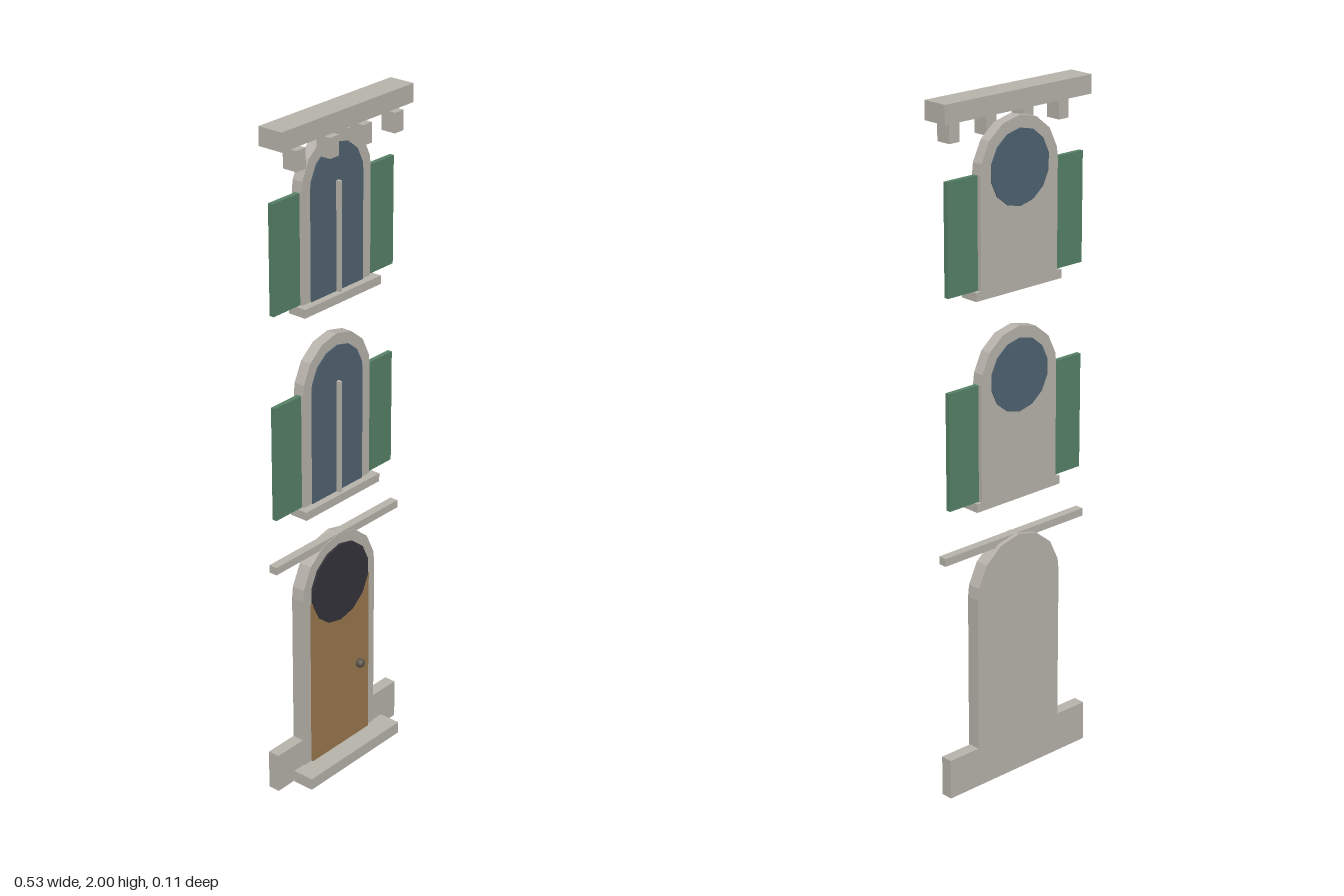
import * as THREE from 'three';

const mat = (name, color) => {
  const m = new THREE.MeshStandardMaterial({ color });
  m.name = name;
  return m;
};

export function createModel() {
  const stone = mat('stone', 0xb8b4ac);
  const wood = mat('wood', 0x9a784f);
  const green = mat('shutterGreen', 0x568266);
  const glass = mat('glass', 0x516373);
  const dark = mat('fanlightDark', 0x34333a);
  const metal = mat('knobMetal', 0x5a5448);

  const model = new THREE.Group();
  model.name = 'houseFacade';

  // Box given by its limits on each axis
  const box = (parent, name, m, [x0, x1], [y0, y1], [z0, z1]) => {
    const mesh = new THREE.Mesh(new THREE.BoxGeometry(x1 - x0, y1 - y0, z1 - z0), m);
    mesh.position.set((x0 + x1) / 2, (y0 + y1) / 2, (z0 + z1) / 2);
    mesh.name = name;
    parent.add(mesh);
  };

  // Fourteen-sided disc facing the front
  const disc = (parent, name, m, r, y, [z0, z1]) => {
    const geo = new THREE.CylinderGeometry(r, r, z1 - z0, 14).rotateX(Math.PI / 2);
    const mesh = new THREE.Mesh(geo, m);
    mesh.position.set(0, y, (z0 + z1) / 2);
    mesh.name = name;
    parent.add(mesh);
  };

  // Solid arch outline: half a fourteen-sided disc over a straight body
  const arch = (parent, name, m, r, y0, yc, [z0, z1]) => {
    const s = new THREE.Shape();
    s.moveTo(-r, y0);
    s.lineTo(r, y0);
    s.lineTo(r, yc);
    for (let i = -3; i <= 3; i++) {
      const a = Math.PI / 2 + (i * Math.PI) / 7;
      s.lineTo(r * Math.cos(a), yc + r * Math.sin(a));
    }
    s.lineTo(-r, yc);
    s.closePath();
    const geo = new THREE.ExtrudeGeometry(s, { depth: z1 - z0, bevelEnabled: false });
    const mesh = new THREE.Mesh(geo, m);
    mesh.position.z = z0;
    mesh.name = name;
    parent.add(mesh);
  };

  // Arched window with sill, mullion and shutters
  const addWindow = (name, y0, yc) => {
    const g = new THREE.Group();
    g.name = name;
    arch(g, 'windowFrame', stone, 0.14, y0, yc, [-0.052, -0.019]);
    arch(g, 'windowGlass', glass, 0.106, y0, yc, [-0.03, -0.016]);
    disc(g, 'rearGlass', glass, 0.106, yc, [-0.055, -0.03]);
    box(g, 'mullion', stone, [-0.005, 0.005], [y0, yc], [-0.017, -0.004]);
    box(g, 'sill', stone, [-0.157, 0.157], [y0 - 0.025, y0], [-0.052, 0.005]);
    for (const [side, x0, x1] of [['left', 0.139, 0.246], ['right', -0.246, -0.139]])
      box(g, side + 'Shutter', green, [x0, x1], [y0, yc], [-0.04, -0.026]);
    model.add(g);
  };
  addWindow('lowerWindow', 0.873, 1.212);
  addWindow('upperWindow', 1.478, 1.792);

  // Doorway with fanlight and knob
  const door = new THREE.Group();
  door.name = 'doorway';
  arch(door, 'doorFrame', stone, 0.156, 0, 0.583, [-0.052, -0.011]);
  box(door, 'doorPanel', wood, [-0.125, 0.125], [0.035, 0.562], [-0.03, -0.005]);
  disc(door, 'fanlight', dark, 0.123, 0.583, [-0.03, -0.0043]);
  const knob = new THREE.Mesh(new THREE.SphereGeometry(0.014, 10, 8), metal);
  knob.position.set(0.078, 0.28, 0.004);
  knob.name = 'doorKnob';
  door.add(knob);
  box(door, 'doorStep', stone, [-0.197, 0.197], [0, 0.036], [-0.014, 0.053]);
  model.add(door);

  // Plinth, string course and cornice with brackets
  box(model, 'plinth', stone, [-0.263, 0.263], [0, 0.12], [-0.052, -0.016]);
  box(model, 'stringCourse', stone, [-0.263, 0.263], [0.715, 0.738], [-0.039, -0.013]);
  box(model, 'cornice', stone, [-0.263, 0.263], [1.947, 2], [-0.053, 0.025]);
  for (const x of [-0.197, -0.066, 0.066, 0.197])
    box(model, 'corniceBracket', stone, [x - 0.018, x + 0.018], [1.883, 1.94], [-0.015, 0.031]);

  return model;
}
